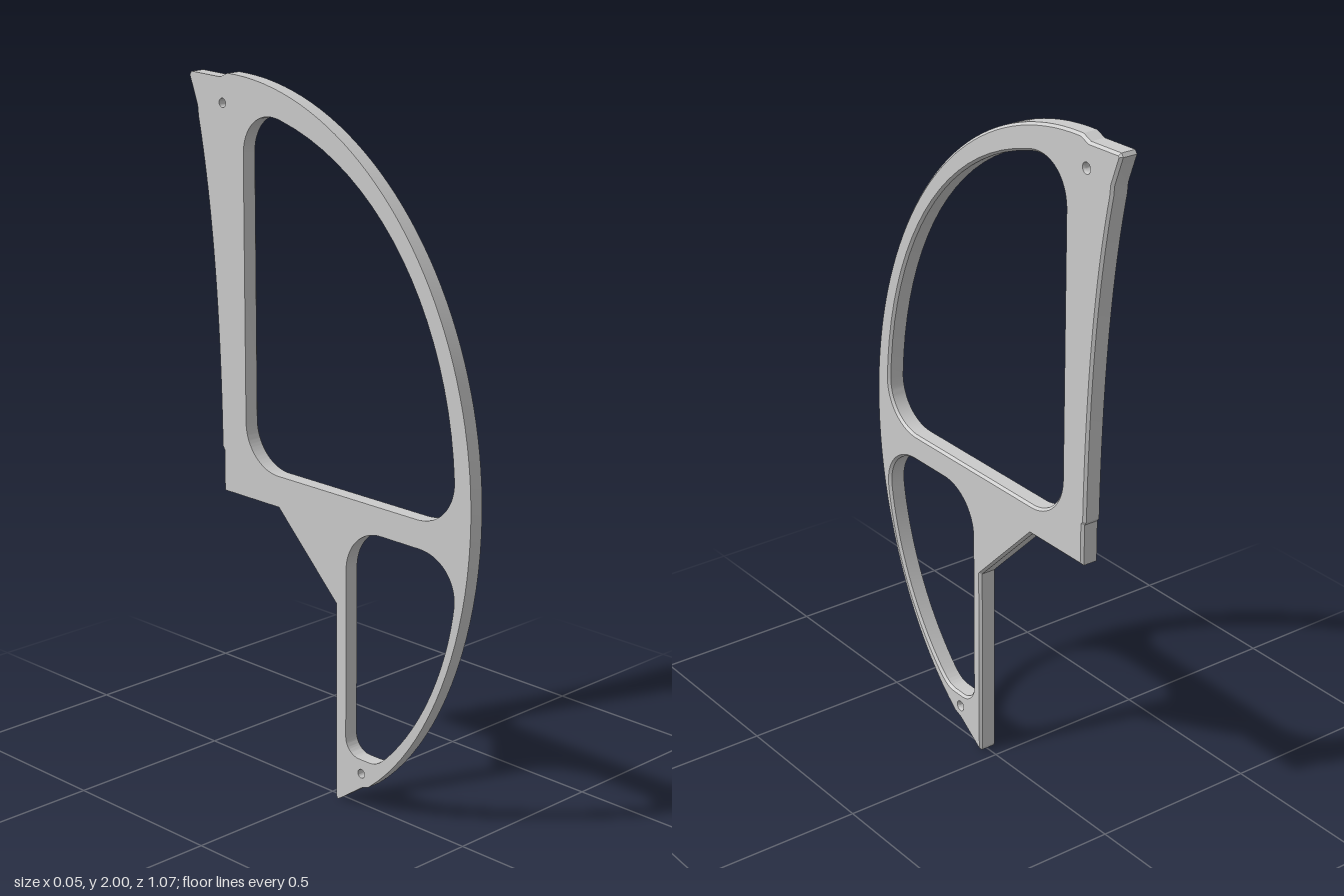
import * as THREE from 'three';
import { toCreasedNormals } from 'three/addons/utils/BufferGeometryUtils.js';

const BACK = -0.025, SHOULDER = 0.018, FACE = 0.025, CHAMFER = 0.007;

// Sampled closed loop without doubled points, wound as asked
function loop(path, clockwise) {
  const pts = path.getPoints(20).filter((p, i, a) => p.distanceTo(a[(i + 1) % a.length]) > 1e-4);
  return THREE.ShapeUtils.isClockWise(pts) === clockwise ? pts : pts.reverse();
}

// Mitred offset of a loop towards the material (left of travel)
function inset(pts, d) {
  const n = pts.length;
  const normal = (a, b) => new THREE.Vector2(a.y - b.y, b.x - a.x).normalize();
  return pts.map((p, i) => {
    const n1 = normal(pts[(i + n - 1) % n], p), n2 = normal(p, pts[(i + 1) % n]);
    const k = d / Math.max(0.4, 1 + n1.dot(n2));
    return p.clone().addScaledVector(n1.add(n2), k);
  });
}

// Flat plate with openings, chamfered on its +x face only
function chamferedPlate(outline, openings) {
  const loops = [loop(outline, false), ...openings.map((o) => loop(o, true))];
  const small = loops.map((l) => inset(l, CHAMFER * (l === loops[0] || l.length > 45 ? 1 : 0.4)));
  const pos = [];
  const put = (p, w) => pos.push(w, p.y, -p.x);
  const wall = (lo, wLo, hi, wHi) => lo.forEach((a, i) => {
    const j = (i + 1) % lo.length;
    put(a, wLo); put(lo[j], wLo); put(hi[j], wHi);
    put(a, wLo); put(hi[j], wHi); put(hi[i], wHi);
  });
  loops.forEach((l, i) => {
    wall(l, BACK, l, SHOULDER);
    wall(l, SHOULDER, small[i], FACE);
  });
  const cap = (ls, w, flip) => {
    const all = ls.flat();
    for (const f of THREE.ShapeUtils.triangulateShape(ls[0].slice(), ls.slice(1).map((l) => l.slice()))) {
      (flip ? [f[2], f[1], f[0]] : f).forEach((k) => put(all[k], w));
    }
  };
  cap(loops, BACK, true);
  cap(small, FACE, false);
  const geo = new THREE.BufferGeometry();
  geo.setAttribute('position', new THREE.Float32BufferAttribute(pos, 3));
  return toCreasedNormals(geo, 0.4);
}

export function createModel() {
  // Outline drawn with horizontal = -z, vertical = y
  const outline = new THREE.Shape();
  outline.moveTo(-0.045, 0);
  outline.lineTo(-0.04, 0.01);
  outline.lineTo(-0.04, 0.585);
  outline.lineTo(0.188, 0.81);
  outline.lineTo(0.41, 0.81);
  outline.lineTo(0.41, 0.93);
  outline.lineTo(0.417, 0.94);
  outline.bezierCurveTo(0.42, 1.3, 0.446, 1.62, 0.5, 1.87);
  outline.lineTo(0.503, 1.9);
  outline.lineTo(0.533, 1.98);
  outline.lineTo(0.526, 1.99);
  outline.lineTo(0.41, 1.987);
  outline.lineTo(0.38, 2);
  outline.absellipse(0.38, 0.94, 0.913, 1.06, Math.PI / 2, Math.PI, false);
  outline.bezierCurveTo(-0.533, 0.6, -0.395, 0.254, -0.167, 0.074);
  outline.lineTo(-0.14, 0.064);
  outline.lineTo(-0.055, 0.005);

  // Large upper opening
  const upper = new THREE.Path();
  upper.moveTo(0.32, 1.03);
  upper.lineTo(0.32, 1.785);
  upper.bezierCurveTo(0.32, 1.86, 0.26, 1.92, 0.17, 1.895);
  upper.bezierCurveTo(-0.2, 1.805, -0.45, 1.46, -0.474, 1.03);
  upper.bezierCurveTo(-0.474, 0.96, -0.42, 0.9, -0.34, 0.9);
  upper.lineTo(0.19, 0.9);
  upper.absarc(0.19, 1.03, 0.13, -Math.PI / 2, 0, false);

  // Lower opening
  const lower = new THREE.Path();
  lower.moveTo(-0.077, 0.2);
  lower.lineTo(-0.077, 0.69);
  lower.absarc(-0.207, 0.69, 0.13, 0, Math.PI / 2, false);
  lower.lineTo(-0.35, 0.82);
  lower.bezierCurveTo(-0.43, 0.82, -0.487, 0.76, -0.478, 0.685);
  lower.bezierCurveTo(-0.455, 0.51, -0.37, 0.315, -0.232, 0.18);
  lower.bezierCurveTo(-0.205, 0.155, -0.19, 0.148, -0.165, 0.148);
  lower.lineTo(-0.129, 0.148);
  lower.absarc(-0.129, 0.2, 0.052, -Math.PI / 2, 0, false);

  // Two small bolt holes
  const bolts = [[0.402, 1.917], [-0.138, 0.106]].map(([u, y]) =>
    new THREE.Path().absarc(u, y, 0.013, 0, Math.PI * 2, false));

  const plate = new THREE.Mesh(
    chamferedPlate(outline, [upper, lower, ...bolts]),
    new THREE.MeshStandardMaterial({ color: 0xcccccc }),
  );
  plate.name = 'framePlate';
  const group = new THREE.Group();
  group.name = 'curvedFrame';
  group.add(plate);
  return group;
}
